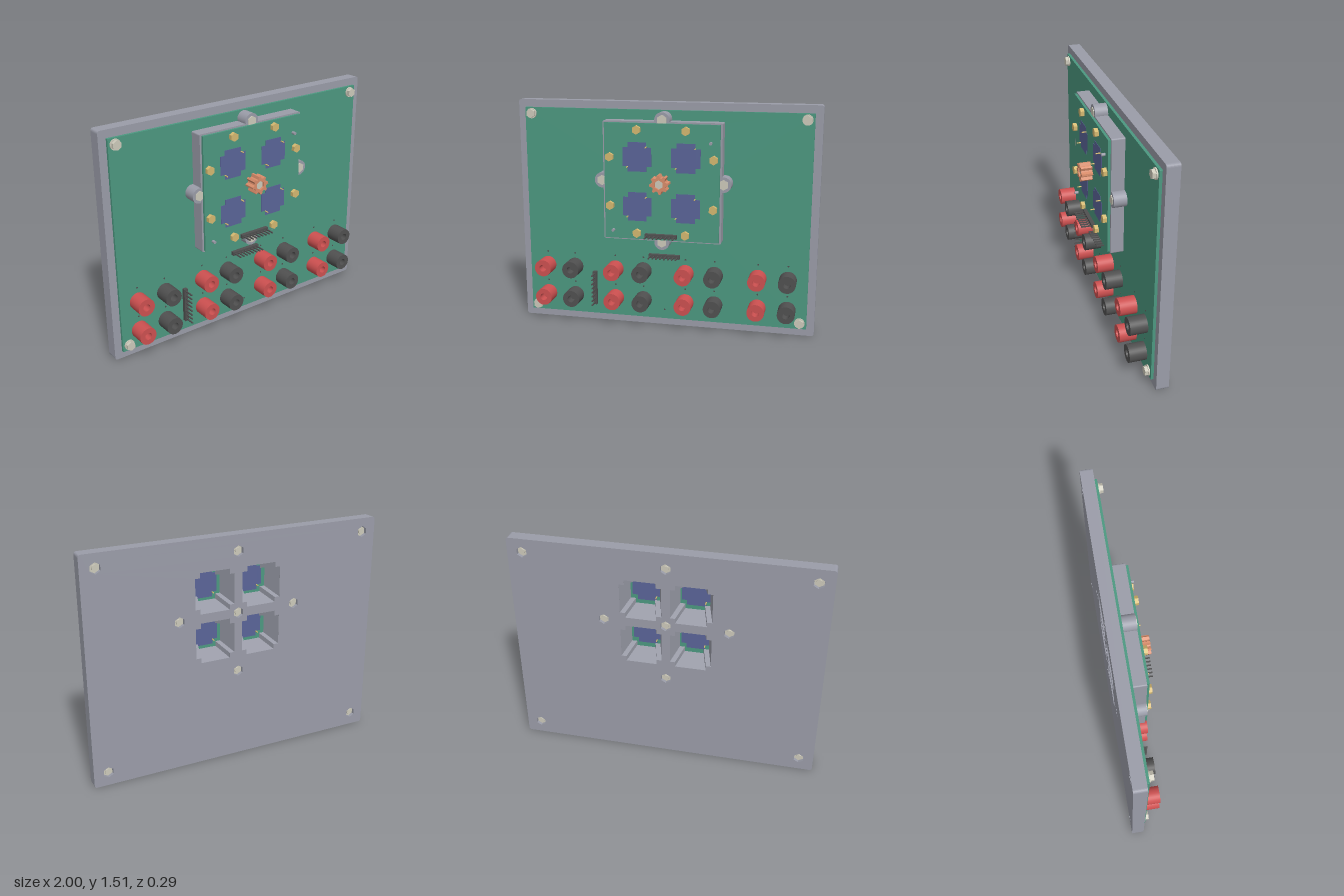
import * as THREE from 'three';

const mat = (name, color, side = THREE.FrontSide) => {
  const m = new THREE.MeshStandardMaterial({ color, side });
  m.name = name;
  return m;
};

export function createModel() {
  const grey = mat('grey plastic', 0x9a9ca8, THREE.DoubleSide);
  const green = mat('board green', 0x4c9880);
  const blue = mat('chip blue', 0x5a6498);
  const red = mat('jack red', 0xcc5050);
  const black = mat('dark plastic', 0x505050);
  const copper = mat('copper', 0xd88c6a);
  const gold = mat('brass', 0xd4b870);
  const steel = mat('pale steel', 0xccc9ba);

  const root = new THREE.Group();
  root.name = 'circuitPanel';
  const CY = 1.005; // height of the sensor head centre

  const add = (name, geo, material, x = 0, y = 0, z = 0) => {
    const m = new THREE.Mesh(geo, material);
    m.name = name;
    m.position.set(x, y, z);
    root.add(m);
    return m;
  };
  // cylinder along z between two depths
  const rod = (name, r, z0, z1, material, x, y, sides = 24) => {
    const g = new THREE.CylinderGeometry(r, r, z1 - z0, sides).rotateX(Math.PI / 2);
    const hex = sides < 9 ? g.toNonIndexed() : g;
    if (sides < 9) hex.computeVertexNormals();
    return add(name, hex, material, x, y, (z0 + z1) / 2);
  };
  const box = (name, w, h, z0, z1, material, x, y) =>
    add(name, new THREE.BoxGeometry(w, h, z1 - z0), material, x, y, (z0 + z1) / 2);
  const slab = (name, shape, z0, z1, material, x = 0, y = 0) =>
    add(name, new THREE.ExtrudeGeometry(shape, { depth: z1 - z0, bevelEnabled: false, curveSegments: 12 }), material, x, y, z0);

  // point lists for outlines
  const ngon = (x, y, r, n) => Array.from({ length: n }, (_, i) =>
    new THREE.Vector2(x + r * Math.sin(i * 2 * Math.PI / n), y + r * Math.cos(i * 2 * Math.PI / n)));
  const cross = (x, y, a, b) => [[a, -b], [a, b], [b, b], [b, a], [-b, a], [-b, b], [-a, b], [-a, -b], [-b, -b], [-b, -a], [b, -a], [b, -b]]
    .map(([u, v]) => new THREE.Vector2(x + u, y + v));
  const rect = (x0, x1, y0, y1, r) => {
    const s = new THREE.Shape();
    s.moveTo(x0 + r, y0).lineTo(x1 - r, y0).quadraticCurveTo(x1, y0, x1, y0 + r)
      .lineTo(x1, y1 - r).quadraticCurveTo(x1, y1, x1 - r, y1)
      .lineTo(x0 + r, y1).quadraticCurveTo(x0, y1, x0, y1 - r)
      .lineTo(x0, y0 + r).quadraticCurveTo(x0, y0, x0 + r, y0);
    return s;
  };
  const cut = (shape, lists) => { lists.forEach(p => shape.holes.push(new THREE.Path(p))); return shape; };

  const chips = [];
  for (const x of [-0.16, 0.16]) for (const y of [CY - 0.163, CY + 0.163]) chips.push([x, y]);
  const corners = [];
  for (const x of [-0.905, 0.905]) for (const y of [0.09, 1.42]) corners.push([x, y]);
  const ears = [[0, CY + 0.4], [0, CY - 0.4], [0.4, CY], [-0.4, CY]];
  const windows = () => chips.map(([x, y]) => cross(x, y, 0.133, 0.1));

  // base plate with windows and nut pockets
  const pockets = [...corners, ...ears, [0, CY]];
  slab('basePlate', cut(rect(-1, 1, 0, 1.51, 0.02),
    [...windows(), ...pockets.map(([x, y]) => ngon(x, y, 0.036, 6))]), -0.144, -0.063, grey);
  for (const [x, y] of pockets) {
    rod('nut', 0.034, -0.125, -0.07, steel, x, y, 6);
    rod('boltEnd', 0.018, -0.135, -0.1, steel, x, y, 16);
  }

  // main circuit board
  slab('mainBoard', cut(rect(-0.95, 0.95, 0.05, 1.46, 0.003), windows()), -0.063, -0.045, green);

  // raised housing with four bolted ears
  slab('housing', cut(rect(-0.39, 0.39, CY - 0.39, CY + 0.39, 0.01), windows()), -0.045, 0.039, grey);
  for (const [x, y] of ears) {
    rod('housingEar', 0.05, -0.045, 0.0385, grey, x, y, 32);
    rod('earBolt', 0.034, 0.02, 0.043, steel, x, y, 6);
  }

  // funnels tapering from the back windows toward the chips
  for (const [x, y] of chips) {
    const outer = cross(x, y, 0.133, 0.1), inner = cross(x, y, 0.095, 0.062), pos = [];
    outer.forEach((p, i) => {
      const j = (i + 1) % outer.length, q = outer[j], a = inner[i], b = inner[j];
      pos.push(p.x, p.y, -0.143, q.x, q.y, -0.143, b.x, b.y, -0.01,
        p.x, p.y, -0.143, b.x, b.y, -0.01, a.x, a.y, -0.01);
    });
    const g = new THREE.BufferGeometry();
    g.setAttribute('position', new THREE.Float32BufferAttribute(pos, 3));
    g.computeVertexNormals();
    add('windowFunnel', g, grey);
  }

  // upper board, chips and their pins
  box('sensorBoard', 0.755, 0.76, 0.039, 0.055, green, 0, CY);
  for (const [x, y] of chips) {
    slab('chip', new THREE.Shape(cross(x, y, 0.095, 0.062)), 0.034, 0.057, blue);
    for (const s of [-1, 1]) {
      rod('chipPin', 0.004, 0.01, 0.085, gold, x + s * 0.062, y + s * 0.065, 8);
    }
  }

  // brass hex screws around the upper board
  for (const s of [-1, 1]) for (const t of [-1, 1]) {
    rod('brassScrew', 0.029, 0.055, 0.08, gold, s * 0.16, CY + t * 0.338, 6);
    rod('brassScrew', 0.029, 0.055, 0.08, gold, s * 0.34, CY + t * 0.16, 6);
  }
  for (const s of [-1, 1]) rod('smallPost', 0.01, 0.055, 0.08, grey, s * 0.32, CY + (s > 0 ? 0.265 : -0.325), 12);

  // lobed copper knob round the central bolt
  const lobes = Array.from({ length: 32 }, (_, i) => {
    const a = i * Math.PI / 16, r = i % 4 < 2 ? 0.062 : 0.045;
    return new THREE.Vector2(r * Math.cos(a), r * Math.sin(a));
  });
  slab('copperKnob', cut(new THREE.Shape(lobes), [ngon(0, 0, 0.031, 6)]), 0.055, 0.13, copper, 0, CY);
  rod('centreBolt', 0.029, 0.04, 0.12, steel, 0, CY, 6);

  // corner bolts
  for (const [x, y] of corners) {
    rod('cornerWasher', 0.034, -0.045, -0.036, steel, x, y, 32);
    rod('cornerBolt', 0.03, -0.036, -0.016, steel, x, y, 6);
  }

  // pin headers
  const header = (x, y, z, vertical, len) => {
    const w = vertical ? 0.026 : len, h = vertical ? len : 0.026;
    box('headerBody', w, h, z, z + 0.025, black, x, y);
    for (let i = 0; i < 8; i++) {
      const d = (i - 3.5) * len / 8;
      box('headerPin', 0.008, 0.008, z + 0.02, z + 0.09, black, x + (vertical ? 0 : d), y + (vertical ? d : 0));
    }
  };
  header(0, 0.654, 0.055, false, 0.21);
  header(0, 0.49, -0.045, false, 0.21);
  header(-0.485, 0.237, -0.045, true, 0.235);

  // hollow jacks in red and black pairs, with a small hole above each
  const profile = [[0.024, 0.0], [0.024, 0.11], [0.024, 0.11], [0.057, 0.11], [0.057, 0.11], [0.057, 0]]
    .map(([r, h]) => new THREE.Vector2(r, h)).reverse();
  const jackGeo = new THREE.LatheGeometry(profile, 32).rotateX(Math.PI / 2);
  for (const x of [-0.825, -0.342, 0.142, 0.625]) for (const y of [0.175, 0.38]) {
    for (const [dx, m] of [[0, red], [0.196, black]]) {
      add('jack', jackGeo, m, x + dx, y, -0.045);
      rod('jackFloor', 0.026, -0.045, 0.0, m, x + dx, y);
      rod('boardHole', 0.006, -0.046, -0.0445, black, x + dx, y + 0.092, 10);
    }
  }
  rod('boardHole', 0.006, -0.046, -0.0445, black, 0, 0.112, 10);

  // centre the depth on z = 0
  const b = new THREE.Box3().setFromObject(root);
  const shift = -(b.min.z + b.max.z) / 2;
  root.children.forEach(c => { c.position.z += shift; });
  return root;
}
